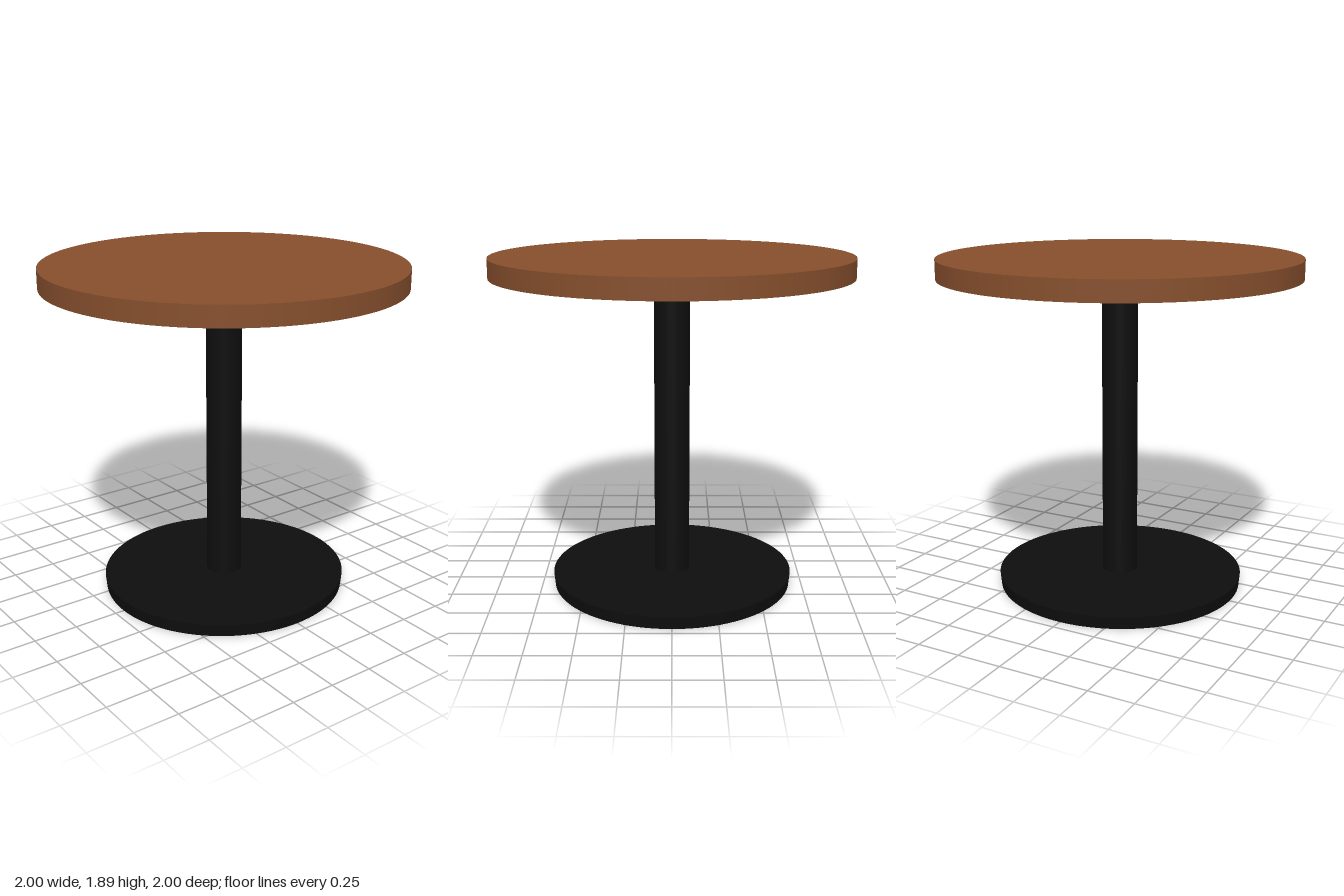
import * as THREE from 'three';

export function createModel() {
  const group = new THREE.Group();
  const wood = new THREE.MeshStandardMaterial({ color: 0x864f2d });
  const underside = new THREE.MeshStandardMaterial({ color: 0x271f0f });
  const metal = new THREE.MeshStandardMaterial({ color: 0x0e0e0e });

  const add = (name, geometry, material, y = 0) => {
    const mesh = new THREE.Mesh(geometry, material);
    mesh.name = name;
    mesh.position.y = y;
    group.add(mesh);
    return mesh;
  };

  // Lathe with hard corners: each profile segment gets its own vertices.
  const turned = (points) => {
    const geometry = new THREE.LatheGeometry(points.map(([r, y]) => new THREE.Vector2(r, y)), 96).toNonIndexed();
    return geometry;
  };

  // Round wooden top: the edge wall and the flat upper face
  add('tabletopEdge', new THREE.CylinderGeometry(1, 1, 0.11, 96, 1, true), wood, 1.835);
  const top = add('tabletopSurface', new THREE.CircleGeometry(1, 96), wood, 1.89);
  top.rotation.x = -Math.PI / 2;

  // Dark underside: narrow rim, raised band and a shallow central recess
  const steps = [
    [[0, 1.785], [0.73, 1.785]],
    [[0.73, 1.785], [0.73, 1.78]],
    [[0.73, 1.78], [0.97, 1.78]],
    [[0.97, 1.78], [0.97, 1.783]],
    [[0.97, 1.783], [1, 1.783]],
  ];
  const under = new THREE.Group();
  under.name = 'tabletopUnderside';
  for (const step of steps) {
    const mesh = new THREE.Mesh(turned(step), underside);
    mesh.name = 'undersideStep';
    under.add(mesh);
  }
  group.add(under);

  // Central column
  add('column', new THREE.CylinderGeometry(0.1, 0.1, 1.73, 48), metal, 0.92);

  // Slightly oval foot plate, tapering towards the floor
  const foot = add('footPlate', new THREE.CylinderGeometry(1, 0.99, 0.07, 96), metal, 0.035);
  foot.scale.set(0.69, 1, 0.705);

  return group;
}
